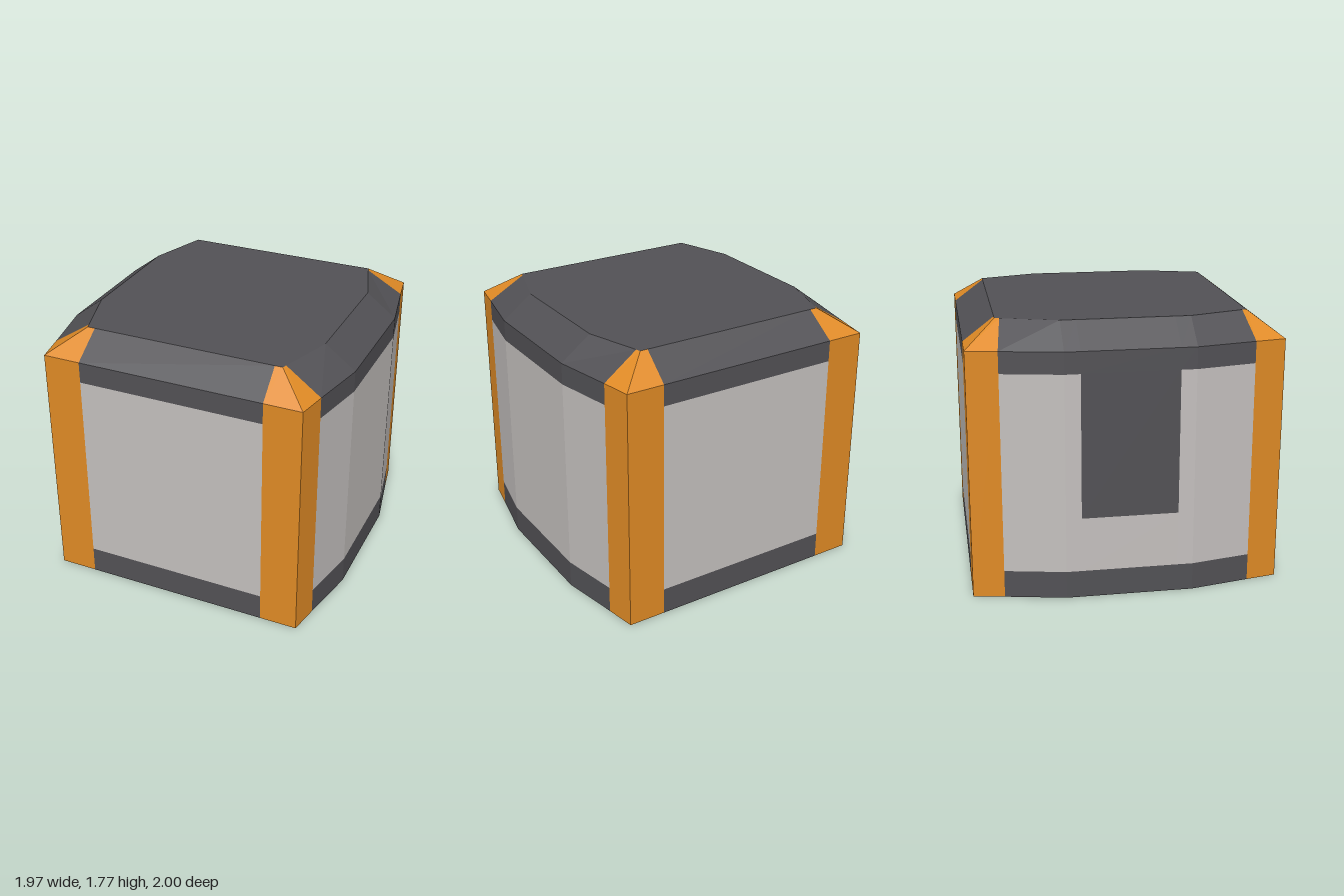
import * as THREE from 'three';

const material = (name, color) => Object.assign(new THREE.MeshStandardMaterial({ color, flatShading: true }), { name });

// Half of the outline, front left round to the back: [x, z, xRoof, zRoof, part from here to the next point]
const HALF = [
  [-0.87, 1, -0.66, 0.8, 'post'],
  [-0.62, 1, -0.61, 0.8, 'wall'],
  [0.62, 1, 0.61, 0.8, 'post'],
  [0.87, 1, 0.66, 0.8, 'post'],
  [0.907, 0.8, 0.67, 0.77, 'wall'],
  [0.985, 0.41, 0.785, 0.41, 'wall'],
  [0.985, 0.31, 0.785, 0.31, 'hatch'],
  [0.985, -0.31, 0.785, -0.31, 'wall'],
  [0.985, -0.41, 0.785, -0.41, 'wall'],
  [0.907, -0.8, 0.67, -0.77, 'post'],
];
const BAND = 0.18, HATCH = 0.54, RIM = 1.48, EDGE = 1.62, TOP = 1.77;

export function createModel() {
  const group = new THREE.Group();
  const orange = material('orange', 0xdf8a25);
  const grey = material('light grey', 0xc4c0be);
  const dark = material('dark grey', 0x525155);

  // Triangles collected for each part
  const parts = {
    cornerPosts: [orange, []], wallPanels: [grey, []], lowerBand: [dark, []], upperBand: [dark, []],
    sideHatch: [dark, []], bevel: [dark, []], roof: [dark, []], base: [dark, []],
  };
  const tri = (part, ...points) => points.forEach((p) => parts[part][1].push(...p));
  const quad = (part, a, b, c, d) => { tri(part, a, b, c); tri(part, a, c, d); };

  // The second half is the first turned by 180 degrees; only the right side has the hatch
  const ring = [
    ...HALF.map((p) => [...p.slice(0, 4), p[4] === 'hatch' ? 'wall' : p[4]]),
    ...HALF.map((p) => [-p[0], -p[1], -p[2], -p[3], p[4]]),
  ];

  ring.forEach((p, i) => {
    const q = ring[(i + 1) % ring.length];
    const kind = p[4];
    const strip = (part, y0, y1) =>
      quad(part, [p[0], y0, p[1]], [q[0], y0, q[1]], [q[0], y1, q[1]], [p[0], y1, p[1]]);

    // Upright sides
    if (kind === 'post') {
      strip('cornerPosts', 0, EDGE);
    } else {
      strip('lowerBand', 0, BAND);
      strip('wallPanels', BAND, kind === 'hatch' ? HATCH : RIM);
      if (kind === 'hatch') strip('sideHatch', HATCH, RIM);
      strip('upperBand', RIM, EDGE);
    }

    // Sloping edge, then flat roof and base
    const pTop = [p[2], TOP, p[3]], qTop = [q[2], TOP, q[3]];
    quad(kind === 'post' ? 'cornerPosts' : 'bevel', [p[0], EDGE, p[1]], [q[0], EDGE, q[1]], qTop, pTop);
    tri('roof', [0, TOP, 0], pTop, qTop);
    tri('base', [0, 0, 0], [q[0], 0, q[1]], [p[0], 0, p[1]]);
  });

  for (const [name, [mat, positions]] of Object.entries(parts)) {
    const geometry = new THREE.BufferGeometry();
    geometry.setAttribute('position', new THREE.Float32BufferAttribute(positions, 3));
    geometry.computeVertexNormals();
    const mesh = new THREE.Mesh(geometry, mat);
    mesh.name = name;
    group.add(mesh);
  }
  return group;
}
